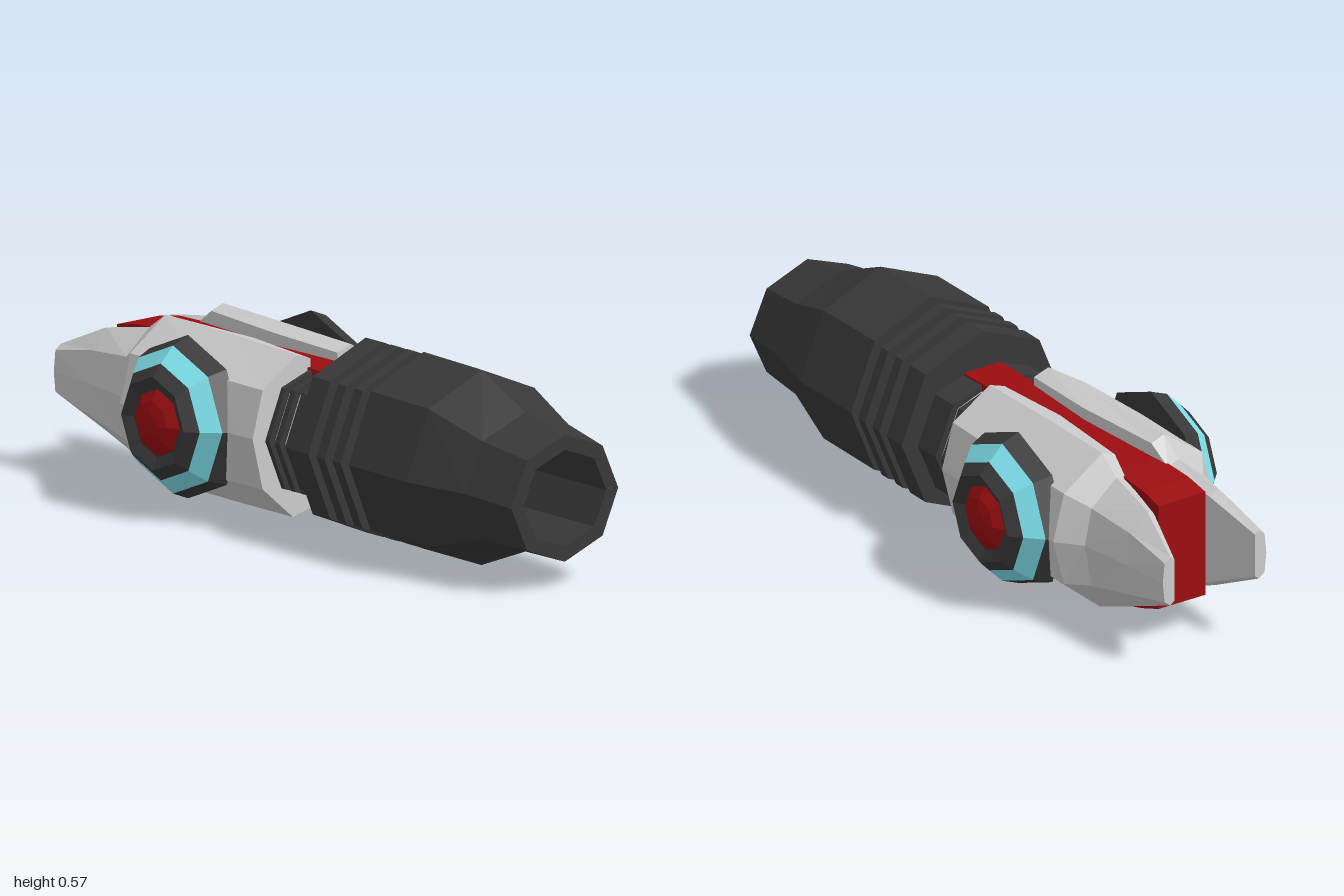
import * as THREE from 'three';

const material = (color) => new THREE.MeshStandardMaterial({ color, flatShading: true });
const GREY = material(0xcccccc), BLACK = material(0x383838);
const RED = material(0x9c0d10), CYAN = material(0x80e4ef);

// Joins cross-sections (equal-length lists of [x, y, z]) into a closed, faceted solid.
function loft(name, sections, mat) {
  const tris = [], n = sections[0].length;
  const cap = (s, flip) => {
    const c = [0, 1, 2].map((k) => s.reduce((t, p) => t + p[k], 0) / n);
    for (let i = 0; i < n; i++) {
      const a = s[i], b = s[(i + 1) % n];
      tris.push(flip ? [c, b, a] : [c, a, b]);
    }
  };
  for (let j = 0; j + 1 < sections.length; j++) {
    for (let i = 0; i < n; i++) {
      const k = (i + 1) % n, s = sections[j], t = sections[j + 1];
      tris.push([s[i], s[k], t[k]], [s[i], t[k], t[i]]);
    }
  }
  cap(sections[0], true);
  cap(sections[sections.length - 1], false);
  // the sign of the enclosed volume tells which way the faces point
  const vol = tris.reduce((v, [a, b, c]) => v
    + a[0] * (b[1] * c[2] - b[2] * c[1])
    + a[1] * (b[2] * c[0] - b[0] * c[2])
    + a[2] * (b[0] * c[1] - b[1] * c[0]), 0);
  if (vol < 0) tris.forEach((t) => t.reverse());
  const geo = new THREE.BufferGeometry();
  geo.setAttribute('position', new THREE.Float32BufferAttribute(tris.flat(2), 3));
  geo.computeVertexNormals();
  const mesh = new THREE.Mesh(geo, mat);
  mesh.name = name;
  return mesh;
}

// Octagon around the x axis with a corner at the top
const octagon = ([x, cy, ry, rz = ry]) => Array.from({ length: 8 }, (_, i) => {
  const a = i * Math.PI / 4;
  return [x, cy + ry * Math.cos(a), rz * Math.sin(a)];
});

// Prism along x with an octagonal section
const disc = (name, x0, x1, r, mat) =>
  loft(name, [octagon([x0, 0.285, r, r * 0.98]), octagon([x1, 0.285, r, r * 0.98])], mat);

// Section through one half, on the side s; pts are [z, y]
const half = (x, s, pts) => pts.map(([z, y]) => [x, y, z * s]);

// Faceted round part turned around the z axis; profile is [radius, z]
function turned(name, profile, mat) {
  const geo = new THREE.LatheGeometry(profile.map(([r, z]) => new THREE.Vector2(r, z)), 8);
  geo.rotateX(Math.PI / 2);
  const mesh = new THREE.Mesh(geo, mat);
  mesh.name = name;
  return mesh;
}

export function createModel() {
  const model = new THREE.Group();
  model.name = 'armCannon';

  // Hollow barrel: outside, muzzle rim, bore
  const barrel = [
    [0.39, 0.287, 0.283, 0.274], [0.64, 0.284, 0.281, 0.274], [0.83, 0.277, 0.2, 0.222],
    [1, 0.262, 0.183, 0.196], [1, 0.262, 0.139, 0.152], [0.45, 0.262, 0.139, 0.152],
  ];
  model.add(loft('barrel', barrel.map(octagon), BLACK));
  model.add(loft('boreGlow', [0.44, 0.46].map((x) => octagon([x, 0.262, 0.139, 0.152])), CYAN));

  // Glowing core with ring plates behind the barrel
  model.add(disc('energyCore', 0.2, 0.395, 0.235, CYAN));
  [[0.14, 0.215], [0.25, 0.285], [0.32, 0.355]].forEach(([a, b]) =>
    model.add(disc('ringPlate', a, b, 0.28, BLACK)));

  // Red spine running between the two halves
  const spine = [
    [-0.84, 0.08, 0.115, 0.435], [-0.76, 0.078, 0.085, 0.45], [-0.62, 0.075, 0.042, 0.455],
    [-0.3, 0.06, 0.05, 0.455], [-0.04, 0.06, 0.075, 0.455], [0.15, 0.065, 0.09, 0.452],
  ];
  model.add(loft('spine', spine.map(([x, w, lo, hi]) =>
    [[x, lo, -w], [x, lo, w], [x, hi, w], [x, hi, -w]]), RED));

  for (const s of [1, -1]) {
    // Side shell: thick body narrowing to a pointed prong
    const shell = [
      [-1, [[0.137, 0.35], [0.15, 0.36], [0.17, 0.345], [0.176, 0.285], [0.17, 0.225], [0.15, 0.21], [0.137, 0.22]]],
      [-0.84, [[0.095, 0.415], [0.12, 0.432], [0.175, 0.375], [0.19, 0.283], [0.175, 0.185], [0.12, 0.135], [0.095, 0.15]]],
      [-0.67, [[0.07, 0.445], [0.105, 0.462], [0.19, 0.39], [0.212, 0.28], [0.19, 0.15], [0.105, 0.062], [0.07, 0.075]]],
      [-0.6, [[0.062, 0.495], [0.105, 0.511], [0.235, 0.42], [0.272, 0.28], [0.235, 0.14], [0.112, 0.035], [0.062, 0.045]]],
      [-0.3, [[0.04, 0.49], [0.1, 0.505], [0.235, 0.42], [0.272, 0.28], [0.235, 0.13], [0.114, 0.033], [0.045, 0.045]]],
      [-0.04, [[0.05, 0.48], [0.1, 0.497], [0.225, 0.415], [0.262, 0.28], [0.225, 0.13], [0.114, 0.033], [0.05, 0.05]]],
    ];
    model.add(loft('sideShell', shell.map(([x, pts]) => half(x, s, pts)), GREY));

    // Neck half with ribs
    const rib = (name, x0, x1, k, mat) => {
      const pts = [[0.06, 0.18], [0.16, 0.145], [0.22, 0], [0.16, -0.145], [0.06, -0.18]]
        .map(([z, y]) => [z === 0.06 ? z : z * k, 0.269 + y * k]);
      model.add(loft(name, [half(x0, s, pts), half(x1, s, pts)], mat));
    };
    rib('neckCore', -0.06, 0.06, 0.9, GREY);
    rib('neckRib', -0.035, -0.018, 1, BLACK);
    rib('neckRib', 0.006, 0.026, 1, BLACK);
    rib('neckCollar', 0.052, 0.145, 1, BLACK);

    // Side reactor: housing, glowing band, recessed cap and dome
    const reactor = new THREE.Group();
    reactor.name = 'sideReactor';
    reactor.add(
      turned('reactorHousing', [[0, 0.225], [0.235, 0.225], [0.213, 0.28]], BLACK),
      turned('reactorBand', [[0.213, 0.28], [0.168, 0.325]], CYAN),
      turned('reactorCap', [[0.168, 0.325], [0.135, 0.356], [0.1, 0.338], [0, 0.338]], BLACK),
      turned('reactorDome', [[0.1, 0.336], [0.066, 0.358], [0.035, 0.367], [0, 0.37]], RED),
    );
    reactor.position.set(-0.362, 0.28, 0);
    if (s < 0) reactor.rotation.y = Math.PI;
    model.add(reactor);
  }
  return model;
}
